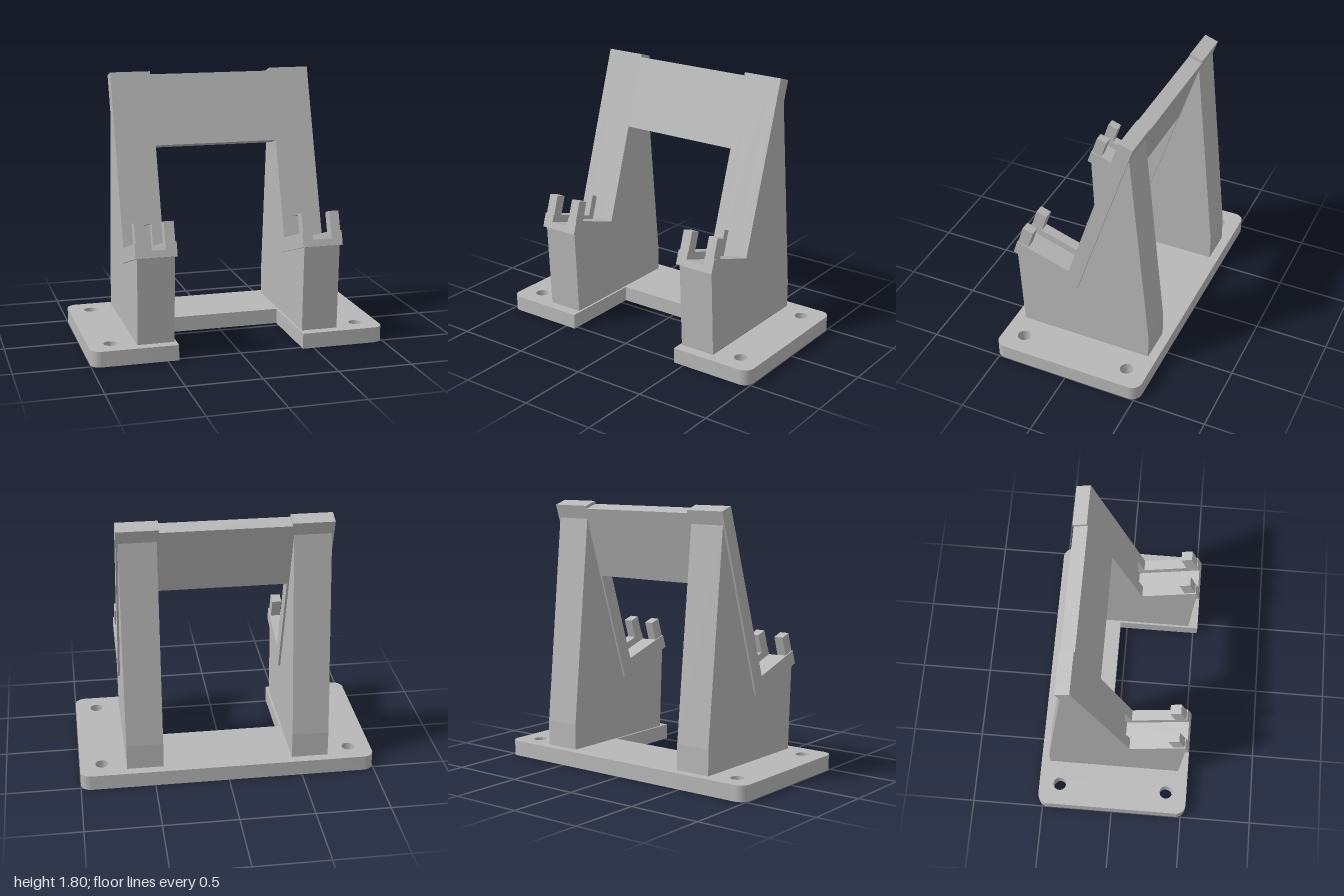
import * as THREE from 'three';
import { toCreasedNormals } from 'three/addons/utils/BufferGeometryUtils.js';

const grey = new THREE.MeshStandardMaterial({ color: 0xb8b8b8 });
grey.name = 'light grey';

// Tilted frame of the cradle: u runs forward along the tray, v up along the back rest; returns [z, y]
const TILT = Math.atan(0.324), C = Math.cos(TILT), S = Math.sin(TILT);
const uv = (u, v) => [0.105 + u * C - v * S, 0.665 + u * S + v * C];

// Extrude a side profile of [z, y] points between x0 and x1
function slab(name, points, x0, x1) {
  const shape = new THREE.Shape(points.map(([z, y]) => new THREE.Vector2(z, y)));
  const geo = new THREE.ExtrudeGeometry(shape, { depth: x1 - x0, bevelEnabled: false });
  geo.rotateY(-Math.PI / 2).translate(x1, 0, 0);
  const mesh = new THREE.Mesh(geo, grey);
  mesh.name = name;
  return mesh;
}

// U-shaped base plate with rounded outer corners and four screw holes
function makeBase() {
  const X = 1, Z = 0.53, R = 0.07, nx = 0.425, nz = 0.05;
  const s = new THREE.Shape();
  s.moveTo(-X + R, -Z);
  s.lineTo(-nx, -Z);
  s.lineTo(-nx, nz);
  s.lineTo(nx, nz);
  s.lineTo(nx, -Z);
  s.lineTo(X - R, -Z);
  s.absarc(X - R, -Z + R, R, -Math.PI / 2, 0);
  s.absarc(X - R, Z - R, R, 0, Math.PI / 2);
  s.absarc(-X + R, Z - R, R, Math.PI / 2, Math.PI);
  s.absarc(-X + R, -Z + R, R, Math.PI, Math.PI * 1.5);
  for (const x of [-0.85, 0.85]) {
    for (const z of [-0.383, 0.383]) {
      s.holes.push(new THREE.Path().absarc(x, z, 0.045, 0, Math.PI * 2, true));
    }
  }
  const geo = new THREE.ExtrudeGeometry(s, { depth: 0.105, bevelEnabled: false, curveSegments: 16 });
  geo.rotateX(-Math.PI / 2);
  const mesh = new THREE.Mesh(toCreasedNormals(geo, 0.6), grey);
  mesh.name = 'basePlate';
  return mesh;
}

// One upright: support block, L-shaped cradle with a groove, and two prongs
function makeStand(name, cx) {
  const T = 0.097, L = 0.395, H = 1.188, G = 0.05, half = 0.1375, g = 0.0645;
  const stand = new THREE.Group();
  stand.name = name;

  stand.add(slab('support', [
    [0.46, 0.1], uv(0.372, -T), uv(-T, -T), uv(-T, 1.095),
    [-0.467, 0.28], [-0.467, 0.1],
  ], cx - 0.1235, cx + 0.1235));

  const outer = [uv(-T, H), uv(-T, -T), uv(L, -T)];
  const side = [...outer, uv(L, 0), uv(0, 0), uv(0, H)];
  const grooved = [...outer, uv(L, -G), uv(-G, -G), uv(-G, 0.147), uv(0, 0.147), uv(0, H)];
  stand.add(slab('cradleSide', side, cx - half, cx - g));
  stand.add(slab('cradleGroove', grooved, cx - g, cx + g));
  stand.add(slab('cradleSide', side, cx + g, cx + half));

  const prong = [uv(0.313, -0.01), uv(0.39, -0.01), uv(0.39, 0.133), uv(0.313, 0.133)];
  stand.add(slab('prong', prong, cx - 0.13, cx - g));
  stand.add(slab('prong', prong, cx + g, cx + 0.13));
  return stand;
}

export function createModel() {
  const model = new THREE.Group();
  model.name = 'cradleStand';
  model.add(makeBase());
  model.add(makeStand('leftStand', 0.5625), makeStand('rightStand', -0.5625));

  // Cross panel joining both back rests
  model.add(slab('crossPanel',
    [uv(-0.097, 0.678), uv(0, 0.678), uv(0, 1.167), uv(-0.097, 1.167)], -0.425, 0.425));
  return model;
}
